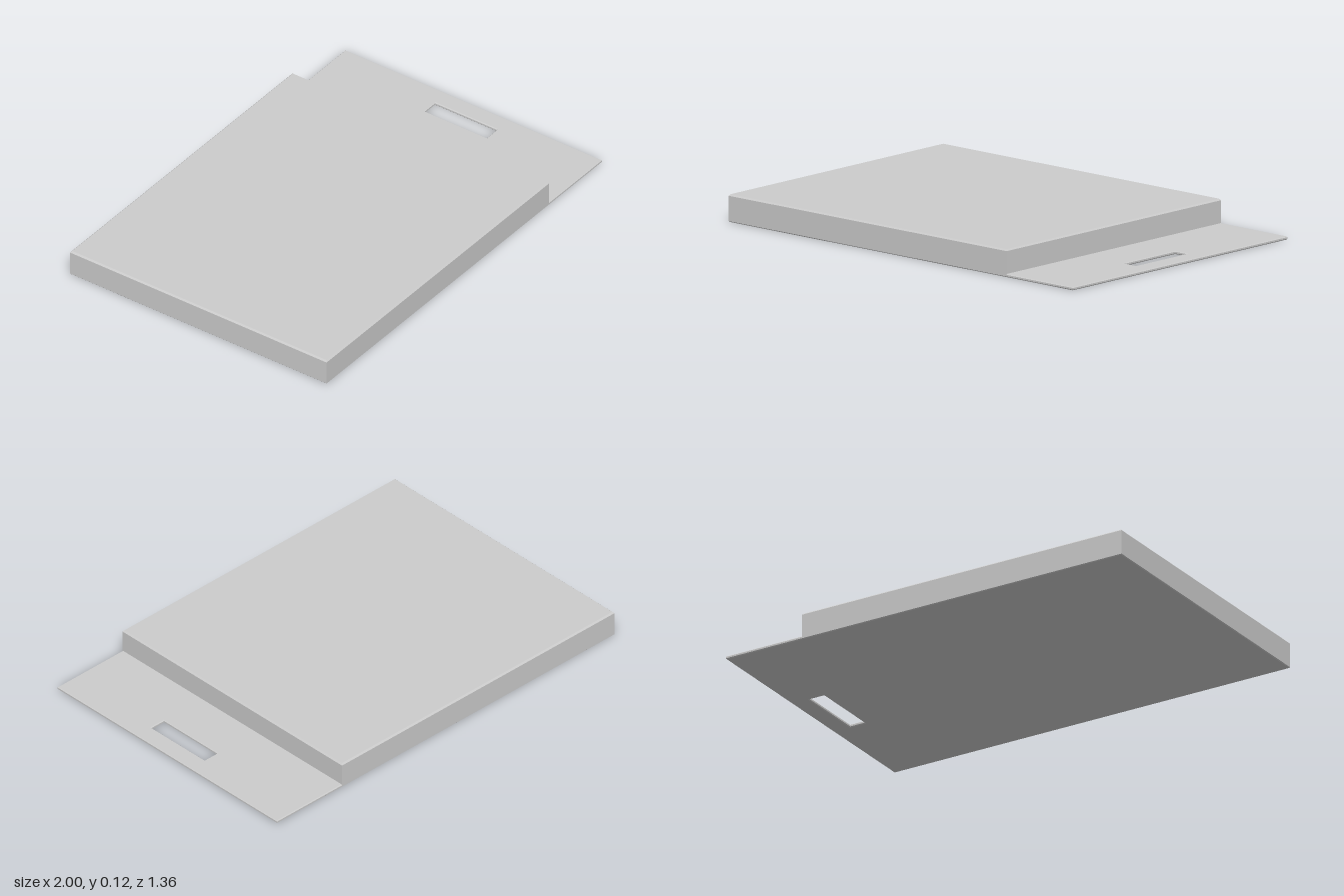
import * as THREE from 'three';

const material = new THREE.MeshStandardMaterial({ color: 0xcccccc, flatShading: true });

// Rectangle outline in plan, given as x and z limits
function rectangle(path, x0, x1, z0, z1) {
  path.moveTo(x0, -z1);
  path.lineTo(x1, -z1);
  path.lineTo(x1, -z0);
  path.lineTo(x0, -z0);
  path.closePath();
  return path;
}

// Chamfered slab standing between two heights
function slab(name, outline, y0, y1, chamfer) {
  const geometry = new THREE.ExtrudeGeometry(outline, {
    depth: y1 - y0 - 2 * chamfer,
    bevelEnabled: true,
    bevelThickness: chamfer,
    bevelSize: chamfer,
    bevelOffset: -chamfer,
    bevelSegments: 1,
  });
  geometry.rotateX(-Math.PI / 2);
  geometry.translate(0, y0 + chamfer, 0);
  const mesh = new THREE.Mesh(geometry, material);
  mesh.name = name;
  return mesh;
}

export function createModel() {
  const group = new THREE.Group();
  group.name = 'slottedBoard';

  // Thin base plate with a hand slot in its exposed end
  const base = rectangle(new THREE.Shape(), -1, 1, -0.68, 0.68);
  base.holes.push(rectangle(new THREE.Path(), 0.84, 0.915, -0.143, 0.187));
  group.add(slab('basePlate', base, 0, 0.015, 0.004));

  // Thick block, flush with the plate on three sides
  const block = rectangle(new THREE.Shape(), -1, 0.615, -0.68, 0.68);
  group.add(slab('raisedBlock', block, 0.004, 0.122, 0.007));

  return group;
}
